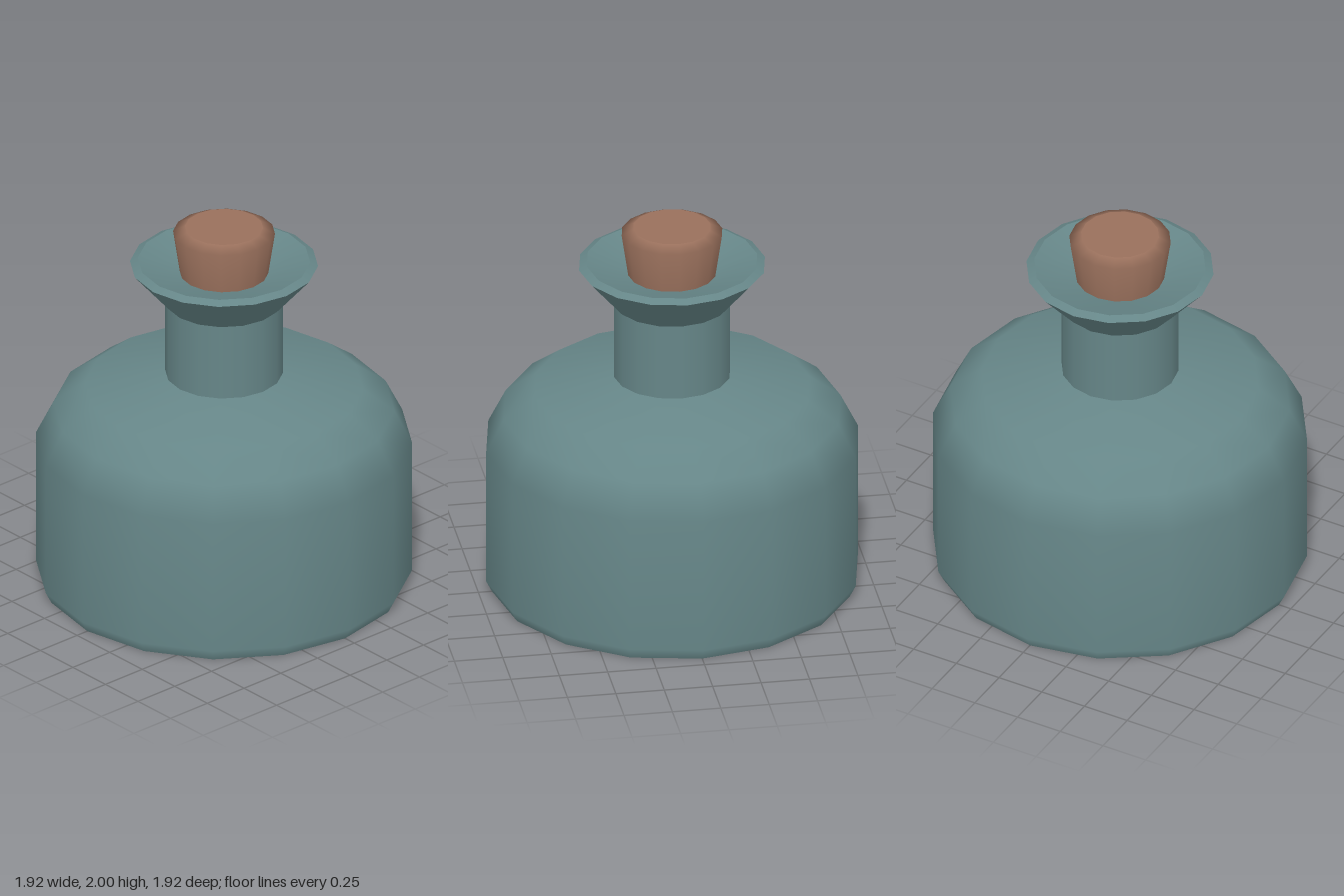
import * as THREE from 'three';

const SIDES = 16;

// Revolve a profile (listed bottom to top on the outside) into a smooth band
function band(name, points, material) {
  const profile = points.map(([r, y]) => new THREE.Vector2(r, y));
  const mesh = new THREE.Mesh(new THREE.LatheGeometry(profile, SIDES), material);
  mesh.name = name;
  return mesh;
}

export function createModel() {
  const glass = new THREE.MeshStandardMaterial({ color: 0x668688 });
  const cork = new THREE.MeshStandardMaterial({ color: 0x99705c });

  // Bottle: each band is smooth inside, with sharp edges between bands
  const bottle = new THREE.Group();
  bottle.name = 'bottle';
  bottle.add(
    band('base', [[0, 0], [0.93, 0]], glass),
    band('body', [[0.93, 0], [0.96, 0.06], [0.96, 0.79], [0.87, 0.97], [0.71, 1.09], [0.3, 1.17]], glass),
    band('neck', [[0.3, 1.17], [0.3, 1.58]], glass),
    band('flaredLip', [[0.3, 1.58], [0.48, 1.79]], glass),
    band('rim', [[0.48, 1.79], [0.44, 1.81]], glass),
    band('mouth', [[0.44, 1.81], [0.22, 1.74], [0, 1.68]], glass)
  );

  // Tapered stopper with a bevelled top
  const stopper = new THREE.Group();
  stopper.name = 'stopper';
  stopper.add(
    band('stopperBottom', [[0, 1.7], [0.22, 1.7]], cork),
    band('stopperSide', [[0.22, 1.7], [0.26, 1.97], [0.2, 2]], cork),
    band('stopperTop', [[0.2, 2], [0, 2]], cork)
  );

  const group = new THREE.Group();
  group.name = 'corkedBottle';
  group.add(bottle, stopper);
  return group;
}
